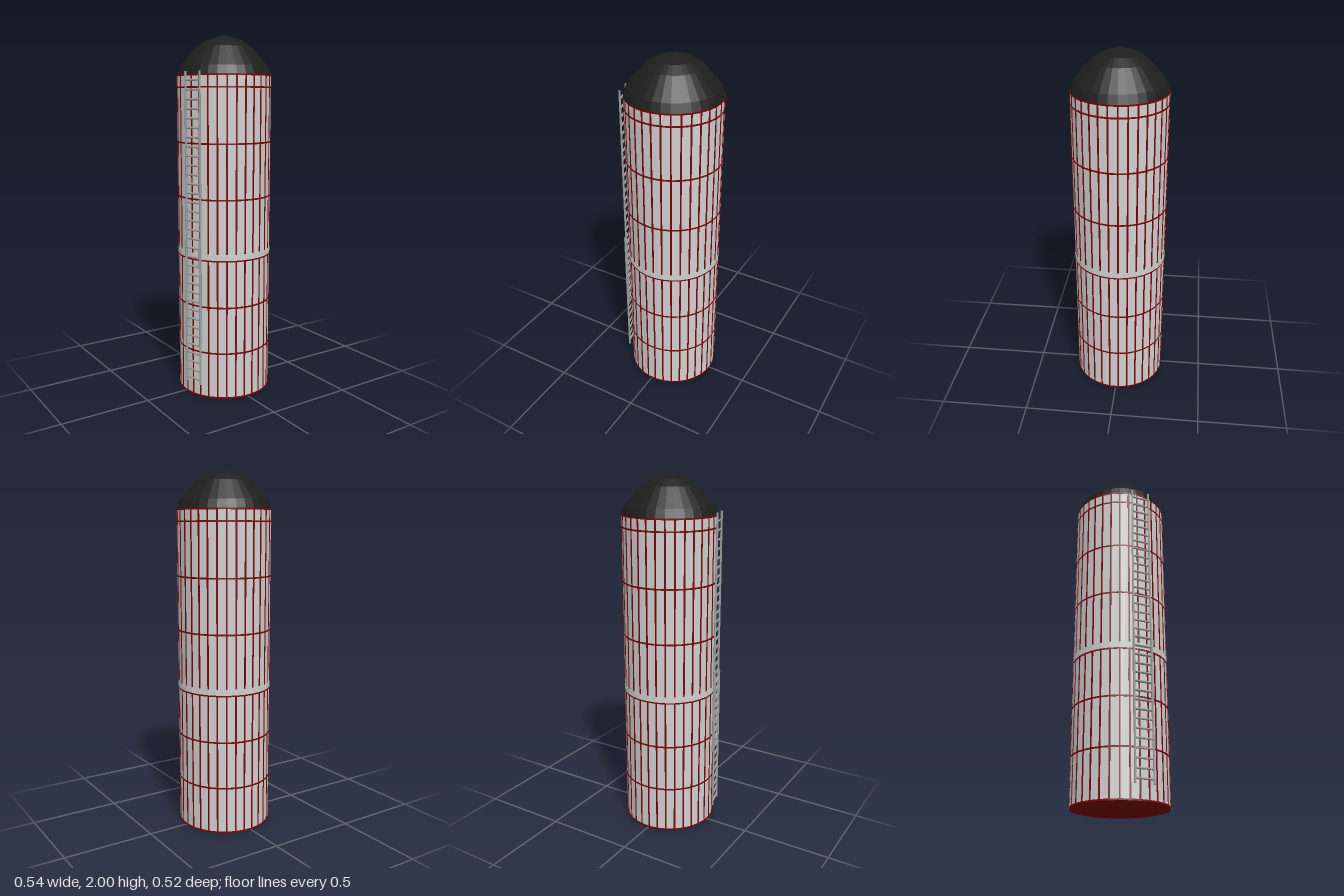
import * as THREE from 'three';
import { mergeGeometries } from 'three/addons/utils/BufferGeometryUtils.js';

const SIDES = 32, RADIUS = 0.26, TURN = 0.065, SEAM = 0.009;
const STEP = (Math.PI * 2) / SIDES;

// One flat normal per face
function faceted(geometry) {
  const flat = geometry.toNonIndexed();
  flat.computeVertexNormals();
  return flat;
}

// Upright faceted drum sharing the tower's sides
function drum(radius, bottom, top, open) {
  return faceted(new THREE.CylinderGeometry(radius, radius, top - bottom, SIDES, 1, open, TURN)
    .translate(0, (bottom + top) / 2, 0));
}

export function createModel() {
  const paint = (name, color) => {
    const m = new THREE.MeshStandardMaterial({ color });
    m.name = name;
    return m;
  };
  const panelGrey = paint('panel grey', 0xd0d0d0);
  const seamRed = paint('seam red', 0x780303);
  const domeBlack = paint('dome black', 0x1e1e1e);
  const ladderGrey = paint('ladder grey', 0xa0a0a0);

  const model = new THREE.Group();
  model.name = 'silo';
  const add = (parent, name, geometry, material) => {
    const mesh = new THREE.Mesh(geometry, material);
    mesh.name = name;
    parent.add(mesh);
  };

  // Tower stands slightly off centre to leave room for the ladder
  const tower = new THREE.Group();
  tower.name = 'tower';
  tower.position.x = 0.01;
  model.add(tower);
  add(tower, 'wall', drum(RADIUS, 0.001, 1.785, true), panelGrey);

  // Red base plate
  const base = new THREE.CircleGeometry(RADIUS, SIDES, TURN - Math.PI / 2).rotateX(Math.PI / 2);
  add(tower, 'basePlate', base, seamRed);

  // Upright red seams, one on each corner of the wall
  const seams = [];
  for (let i = 0; i < SIDES; i++) {
    seams.push(new THREE.BoxGeometry(SEAM, 1.785, 0.003)
      .translate(0, 0.8925, RADIUS)
      .rotateY(TURN + i * STEP));
  }
  add(tower, 'uprightSeams', mergeGeometries(seams), seamRed);

  // Red hoops between the rows of panels
  const hoops = [0.0045, 0.263, 0.526, 0.789, 1.122, 1.422, 1.718, 1.782]
    .map((y) => drum(0.2613, y - SEAM / 2, y + SEAM / 2, false));
  add(tower, 'hoops', mergeGeometries(hoops), seamRed);

  // Plain band around the middle
  add(tower, 'middleBand', drum(0.262, 0.793, 0.826, false), panelGrey);

  // Faceted dome roof
  const profile = [[0.261, 1.785], [0.243, 1.832], [0.152, 1.935], [0.1, 1.97], [0.01, 1.999], [0, 2]]
    .map(([r, y]) => new THREE.Vector2(r, y));
  add(tower, 'dome', faceted(new THREE.LatheGeometry(profile, SIDES, TURN)), domeBlack);

  // Two overlapping ladder sections, the lower one a little further out
  const ladder = new THREE.Group();
  ladder.name = 'ladder';
  ladder.position.set(-0.248, 0, 0.0875);
  ladder.rotation.y = -1.308;
  model.add(ladder);
  const addSection = (name, bottom, top, out) => {
    const parts = [];
    for (const side of [-1, 1]) {
      parts.push(new THREE.CylinderGeometry(0.006, 0.006, top - bottom, 8)
        .translate(side * 0.051, (top + bottom) / 2, out));
    }
    for (let y = bottom + 0.025; y < top; y += 0.05) {
      parts.push(new THREE.CylinderGeometry(0.006, 0.006, 0.102, 8)
        .rotateZ(Math.PI / 2).translate(0, y, out));
    }
    add(ladder, name, mergeGeometries(parts), ladderGrey);
  };
  addSection('lowerLadder', 0.08, 0.9, 0.004);
  addSection('upperLadder', 0.43, 1.8, -0.002);

  return model;
}
